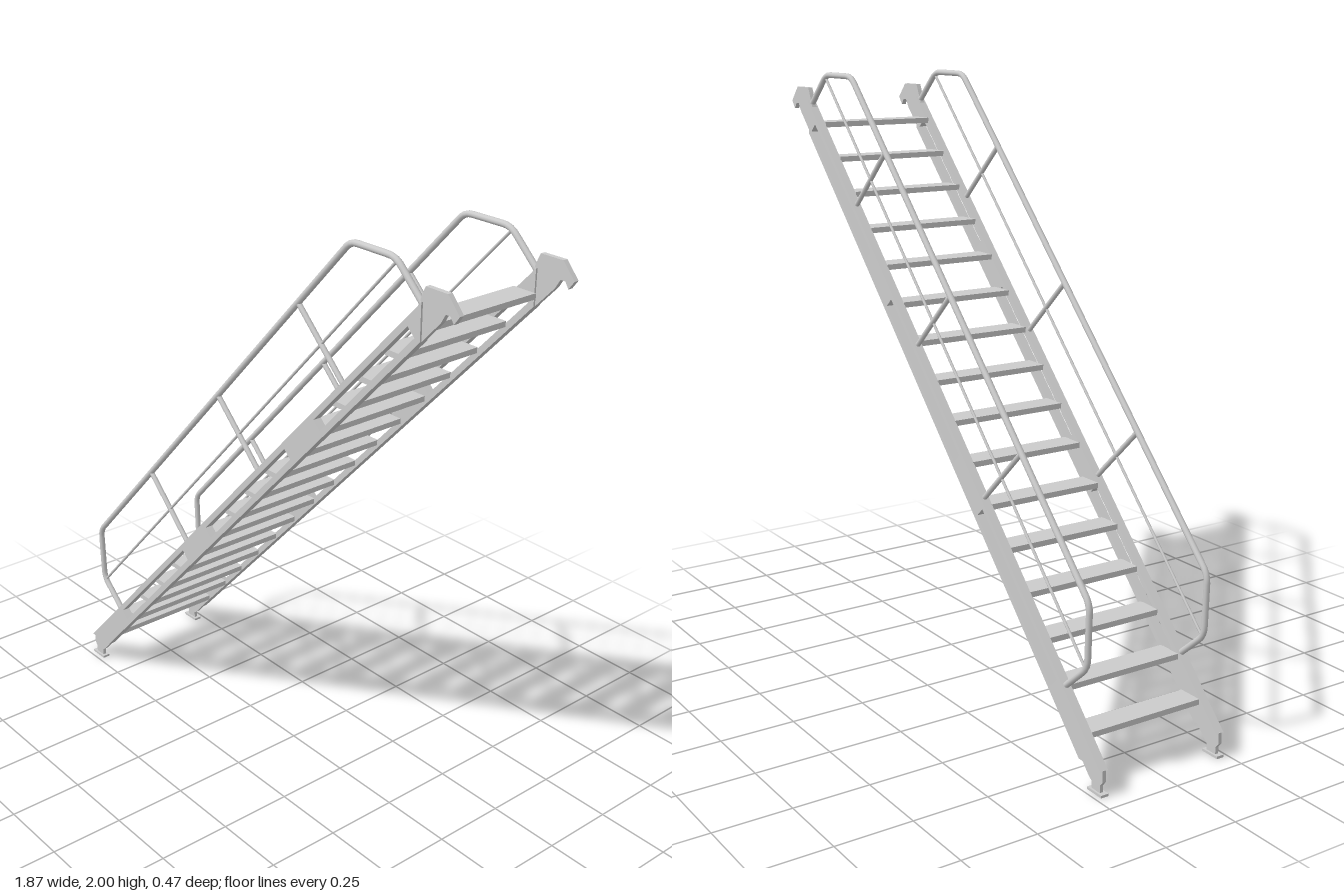
import * as THREE from 'three';

const SLOPE = 1.047;                    // rise per unit of run
const SIDE_Z = 0.22;                    // centre plane of each side frame
const ANGLE = Math.atan(SLOPE);
const grey = new THREE.MeshStandardMaterial({ color: 0xcccccc });
const topY = (x) => SLOPE * x + 1.06;   // upper edge of the stringer
const botY = (x) => SLOPE * x + 0.948;  // lower edge of the stringer

function add(parent, name, geometry) {
  const mesh = new THREE.Mesh(geometry, grey);
  mesh.name = name;
  parent.add(mesh);
  return mesh;
}

// Flat plate from an x/y outline, centred on z = 0
function plate(points, depth, holes = []) {
  const toVecs = (pts) => pts.map(([x, y]) => new THREE.Vector2(x, y));
  const shape = new THREE.Shape(toVecs(points));
  holes.forEach((h) => shape.holes.push(new THREE.Path(toVecs(h))));
  const g = new THREE.ExtrudeGeometry(shape, { depth, bevelEnabled: false });
  return g.translate(0, 0, -depth / 2);
}

// Straight round bar between two x/y points
function bar(a, b, radius) {
  const p = new THREE.Vector3(...a, 0), q = new THREE.Vector3(...b, 0);
  const dir = q.clone().sub(p);
  const g = new THREE.CylinderGeometry(radius, radius, dir.length(), 10);
  g.applyQuaternion(new THREE.Quaternion().setFromUnitVectors(new THREE.Vector3(0, 1, 0), dir.normalize()));
  const mid = p.add(q).multiplyScalar(0.5);
  return g.translate(mid.x, mid.y, 0);
}

// Pipe path with rounded corners
function bentPath(points, r) {
  const v = points.map(([x, y]) => new THREE.Vector3(x, y, 0));
  const path = new THREE.CurvePath();
  let last = v[0];
  for (let i = 1; i < v.length - 1; i++) {
    const a = v[i].clone().add(v[i - 1].clone().sub(v[i]).setLength(r));
    const b = v[i].clone().add(v[i + 1].clone().sub(v[i]).setLength(r));
    path.add(new THREE.LineCurve3(last, a));
    path.add(new THREE.QuadraticBezierCurve3(a, v[i], b));
    last = b;
  }
  path.add(new THREE.LineCurve3(last, v[v.length - 1]));
  return path;
}

// Long slot parallel to the stringer with square ends
function slot(x0, x1) {
  const h = 0.019, nx = -Math.sin(ANGLE) * h, ny = Math.cos(ANGLE) * h;
  const cy = (x) => (topY(x) + botY(x)) / 2;
  return [
    [x0 - nx, cy(x0) - ny], [x1 - nx, cy(x1) - ny],
    [x1 + nx, cy(x1) + ny], [x0 + nx, cy(x0) + ny],
  ];
}

function sideFrame(name) {
  const side = new THREE.Group();
  side.name = name;

  // Slotted stringer, level cut at the foot and plumb cut at the head
  const xFootBack = (0.08 - 0.948) / SLOPE;
  add(side, 'stringer', plate(
    [[-0.934, 0.08], [xFootBack, 0.08], [0.8, botY(0.8)], [0.8, topY(0.8)]],
    0.028,
    [slot(-0.7, -0.3), slot(-0.165, 0.25), slot(0.385, 0.765)],
  ));

  // Foot bracket and floor pad
  add(side, 'footBracket', plate(
    [[-0.934, 0.082], [-0.934, 0.045], [-0.922, 0.03], [-0.922, 0.006], [-0.882, 0.006],
      [-0.882, 0.03], [-0.868, 0.04], [xFootBack, 0.082]], 0.012));
  add(side, 'footPad', new THREE.BoxGeometry(0.068, 0.008, 0.026)).position.set(-0.904, 0.004, 0);

  // Hook bracket at the head
  add(side, 'hookBracket', plate(
    [[0.78, botY(0.78)], [0.868, botY(0.868)], [0.885, 1.885], [0.902, 1.885], [0.915, 1.865],
      [0.935, 1.892], [0.89, 1.942], [0.808, 1.942], [0.8, 1.925], [0.78, topY(0.78)]], 0.016));

  // Bent pipe handrail
  const rail = bentPath([
    [-0.735, 0.268], [-0.846, 0.366], [-0.852, 0.563], [0.507, 1.99], [0.685, 1.99], [0.795, 1.886],
  ], 0.028);
  add(side, 'handrail', new THREE.TubeGeometry(rail, 160, 0.01, 10, false));

  // Posts square to the slope
  for (let i = 0; i < 3; i++) {
    const x = -0.505 + i * 0.395, y = SLOPE * x + 1.456;
    add(side, 'railPost', bar([x, y], [x + 0.202, y - 0.202 / SLOPE], 0.0085));
  }
  add(side, 'midRail', bar([-0.832, 0.366], [0.69, 1.98], 0.0045));
  return side;
}

export function createModel() {
  const model = new THREE.Group();
  model.name = 'stairLadder';

  for (const s of [1, -1]) {
    const side = sideFrame(s > 0 ? 'frontSide' : 'backSide');
    side.position.z = s * SIDE_Z;
    model.add(side);
  }

  // Sixteen evenly spaced treads
  for (let i = 0; i < 16; i++) {
    const tread = add(model, 'tread', new THREE.BoxGeometry(0.084, 0.018, 0.416));
    tread.position.set(-0.808 + i * 0.1047, 0.154 + i * 0.1109, 0);
  }
  return model;
}
